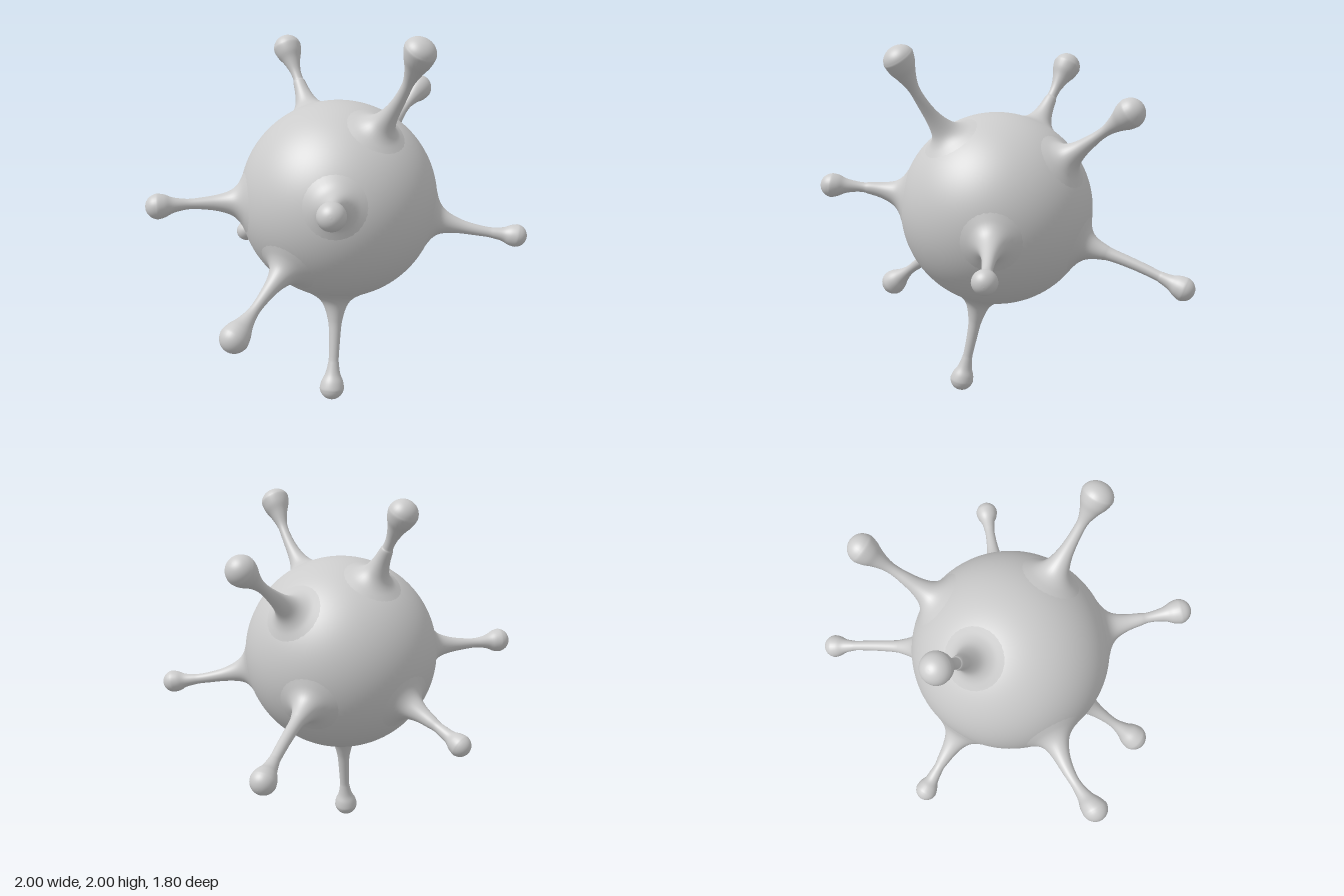
import * as THREE from 'three';

const CENTER = new THREE.Vector3(-0.095, 1.107, -0.003);
const RADIUS = 0.545;

// One entry per spike: knob centre, knob radius, cap flatness, sideways bow of the stem
const SPIKES = [
  { tip: [-0.27, 1.93, 0.605], knob: 0.083, cap: 0.8, bow: [0, -0.018, 0.025] },
  { tip: [0.07, 1.91, -0.49], knob: 0.079, cap: 0.95 },
  { tip: [0.73, 1.66, 0.005], knob: 0.079, cap: 1 },
  { tip: [0.932, 0.722, -0.275], knob: 0.066, cap: 1, bow: [0.005, 0.018, 0] },
  { tip: [0.42, 0.915, 0.83], knob: 0.063, cap: 1, bow: [0, -0.015, 0] },
  { tip: [-0.29, 0.073, 0.09], knob: 0.068, cap: 1, bow: [0.01, 0, 0] },
  { tip: [-0.925, 0.553, -0.03], knob: 0.076, cap: 1, bow: [0.005, 0.01, 0] },
  { tip: [-0.863, 1.24, 0.525], knob: 0.068, cap: 1, bow: [0, 0.014, 0] },
  { tip: [-0.84, 1.12, -0.632], knob: 0.068, cap: 1, bow: [0.018, 0, -0.024] },
  { tip: [0.05, 0.757, -0.845], knob: 0.059, cap: 1, bow: [0.005, 0.008, 0] },
];

// Profile from the flared root, along the thin stem, to the teardrop knob
function spikeProfile(length, k, cap) {
  const pts = [
    [0.2, 0.503], [0.15, 0.526], [0.11, 0.547], [0.08, 0.574], [0.06, 0.61], [0.044, 0.665],
    [0.034, 0.73], [0.028, length - k * 2.6], [0.031, length - k * 1.9],
    [k * 0.62, length - k * 1.1], [k * 0.88, length - k * 0.52],
  ].map(([r, d]) => new THREE.Vector2(r, d));
  for (let i = 0; i <= 6; i++) {
    const a = (i / 6) * Math.PI / 2;
    pts.push(new THREE.Vector2(k * Math.cos(a), length + k * cap * Math.sin(a)));
  }
  return new THREE.SplineCurve(pts).getPoints(70).map(p => p.setX(Math.max(p.x, 0)));
}

function makeSpike({ tip, knob, cap, bow = [0, 0, 0] }, material) {
  const axis = new THREE.Vector3(...tip).sub(CENTER);
  const length = axis.length();
  const geo = new THREE.LatheGeometry(spikeProfile(length, knob, cap), 32);
  geo.applyQuaternion(new THREE.Quaternion().setFromUnitVectors(
    new THREE.Vector3(0, 1, 0), axis.normalize()));

  // Bow the stem gently between root and knob
  const pos = geo.attributes.position;
  const v = new THREE.Vector3();
  const bend = new THREE.Vector3(...bow);
  for (let i = 0; i < pos.count; i++) {
    v.fromBufferAttribute(pos, i);
    const t = THREE.MathUtils.clamp((v.dot(axis) - 0.52) / (length - 0.52), 0, 1);
    v.addScaledVector(bend, Math.sin(Math.PI * t));
    pos.setXYZ(i, v.x, v.y, v.z);
  }
  const mesh = new THREE.Mesh(geo, material);
  mesh.position.copy(CENTER);
  return mesh;
}

export function createModel() {
  const model = new THREE.Group();
  model.name = 'spikedBall';
  const material = new THREE.MeshStandardMaterial({ color: 0xcccccc });

  // Round body
  const body = new THREE.Mesh(new THREE.SphereGeometry(RADIUS, 96, 64), material);
  body.name = 'body';
  body.position.copy(CENTER);
  model.add(body);

  // Knobbed spikes radiating from the body
  SPIKES.forEach((s, i) => {
    const spike = makeSpike(s, material);
    spike.name = `spike${i + 1}`;
    model.add(spike);
  });
  return model;
}
